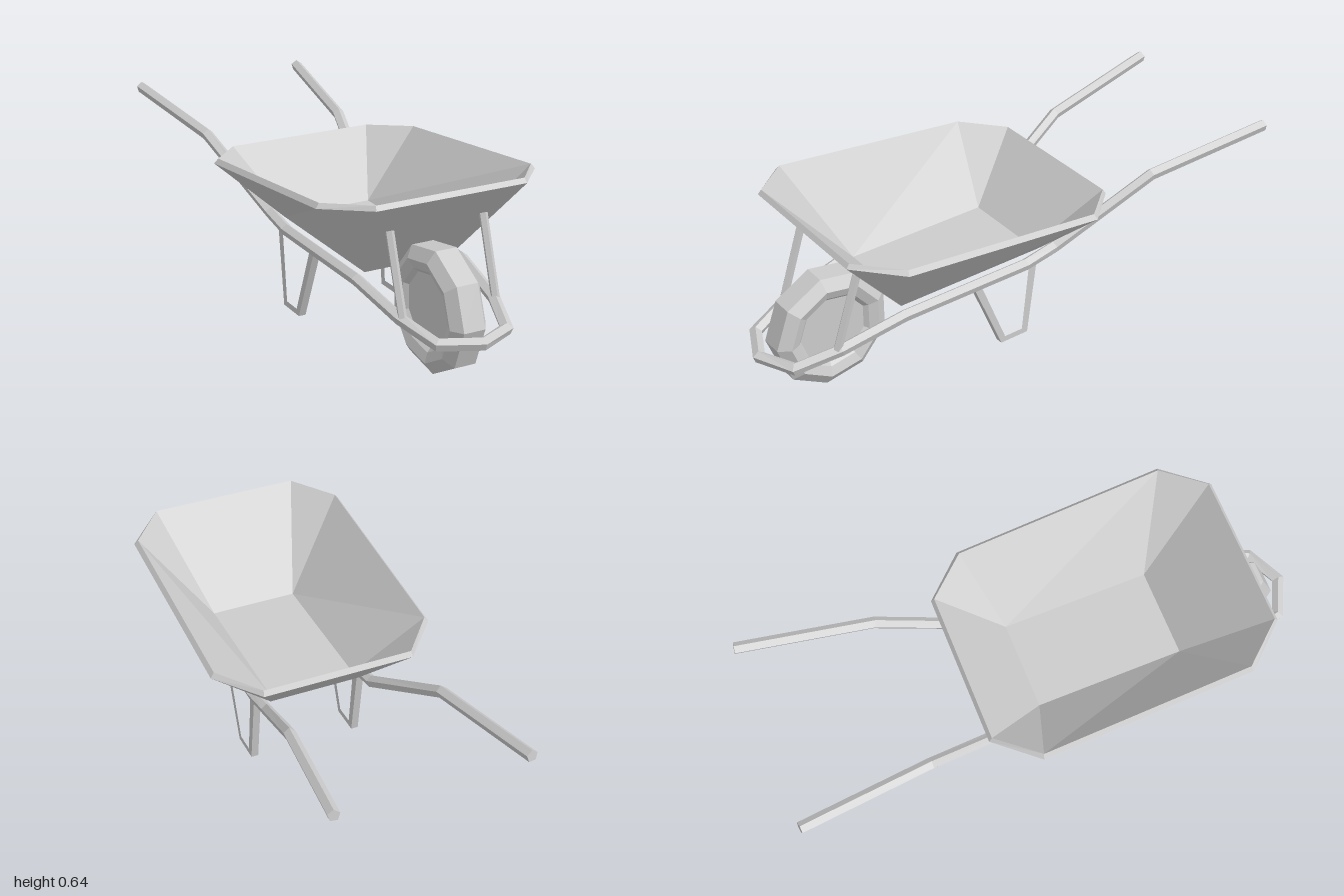
import * as THREE from 'three';

const V = (x, y, z) => new THREE.Vector3(x, y, z);
const material = new THREE.MeshStandardMaterial({ color: 0xcccccc, flatShading: true });

function addMesh(parent, geometry, name) {
  const mesh = new THREE.Mesh(geometry, material);
  mesh.name = name;
  parent.add(mesh);
  return mesh;
}

// Skin a series of equal-length rings and close both ends.
function loft(rings) {
  const n = rings[0].length, last = rings.length - 1, out = [];
  const tri = (...points) => points.forEach((p) => out.push(p.x, p.y, p.z));
  for (let i = 0; i < last; i++) {
    for (let j = 0; j < n; j++) {
      const k = (j + 1) % n, lo = rings[i], hi = rings[i + 1];
      tri(lo[j], lo[k], hi[k]);
      tri(lo[j], hi[k], hi[j]);
    }
  }
  for (let j = 1; j < n - 1; j++) {
    tri(rings[0][0], rings[0][j + 1], rings[0][j]);
    tri(rings[last][0], rings[last][j], rings[last][j + 1]);
  }
  const geometry = new THREE.BufferGeometry();
  geometry.setAttribute('position', new THREE.Float32BufferAttribute(out, 3));
  geometry.computeVertexNormals();
  return geometry;
}

// Straight-sided bar along a path with mitred bends.
function bar(path, radius, sides = 5) {
  const dirs = path.slice(1).map((p, i) => p.clone().sub(path[i]).normalize());
  return loft(path.map((p, i) => {
    const d = dirs[Math.max(i - 1, 0)];
    const next = dirs[Math.min(i, dirs.length - 1)];
    const mitre = d.clone().add(next).normalize();
    const side = V(0, 1, 0).cross(d).normalize();
    const up = d.clone().cross(side);
    return Array.from({ length: sides }, (_, j) => {
      const a = (j / sides) * Math.PI * 2;
      const o = side.clone().multiplyScalar(-Math.sin(a) * radius).addScaledVector(up, Math.cos(a) * radius);
      o.addScaledVector(d, -o.dot(mitre) / d.dot(mitre));
      return o.add(p);
    });
  }));
}

// Eight-point ring: half width, back and front z, corner cuts, and height by z.
function trayRing(w, back, front, cutX, cutZ, height) {
  const quarter = [
    [w, front - cutZ], [w, back + cutZ], [w - cutX, back], [-w + cutX, back],
    [-w, back + cutZ], [-w, front - cutZ], [-w + cutX, front], [w - cutX, front],
  ];
  return quarter.map(([x, z]) => V(x, height(z), z));
}

export function createModel() {
  const model = new THREE.Group();
  model.name = 'wheelbarrow';

  // Tray: outer shell, sloping rim, inner shell
  const rimHeight = (z) => 0.546 + 0.106 * z;
  addMesh(model, loft([
    trayRing(0.17, -0.08, 0.51, 0, 0, () => 0.305),
    trayRing(0.416, -0.295, 0.782, 0.135, 0.15, rimHeight),
    trayRing(0.402, -0.283, 0.77, 0.124, 0.143, (z) => rimHeight(z) + 0.017),
    trayRing(0.163, -0.06, 0.49, 0, 0, () => 0.318),
  ]), 'tray');

  // Frame: one bar from handle to handle, wrapping around the wheel
  const half = [
    V(0.345, 0.585, -0.997), V(0.28, 0.516, -0.51), V(0.205, 0.315, -0.13), V(0.205, 0.29, 0),
    V(0.205, 0.29, 0.52), V(0.18, 0.238, 0.76), V(0.13, 0.197, 0.915),
  ];
  const mirrored = half.map((p) => V(-p.x, p.y, p.z)).reverse();
  addMesh(model, bar([...half, V(0, 0.197, 0.977), ...mirrored], 0.022), 'frame');

  // Leg outline in (z, y), with a trapezoid opening
  const legShape = new THREE.Shape([[-0.038, 0.29], [0, 0], [0.117, 0], [0.235, 0.285]]
    .map(([z, y]) => new THREE.Vector2(-z, y)));
  legShape.holes.push(new THREE.Path([[-0.003, 0.277], [0.024, 0.022], [0.1, 0.022], [0.202, 0.277]]
    .map(([z, y]) => new THREE.Vector2(-z, y))));
  const legGeometry = new THREE.ExtrudeGeometry(legShape, { depth: 0.027, bevelEnabled: false });
  legGeometry.translate(0, 0, -0.0135).rotateY(Math.PI / 2);

  for (const [side, label] of [[1, 'left'], [-1, 'right']]) {
    addMesh(model, legGeometry, `${label}Leg`).position.x = side * 0.204;
    // Brace from the frame up to the tray front
    addMesh(model, bar([V(side * 0.178, 0.24, 0.775), V(side * 0.178, 0.513, 0.685)], 0.0155), `${label}Brace`);
  }

  // Nine-sided wheel with recessed sides
  const profile = [
    [0, -0.04], [0.13, -0.04], [0.145, -0.055], [0.18, -0.068], [0.222, -0.04],
    [0.222, 0.04], [0.18, 0.068], [0.145, 0.055], [0.13, 0.04], [0, 0.04],
  ].map(([r, y]) => new THREE.Vector2(r, y));
  const wheel = addMesh(model, new THREE.LatheGeometry(profile, 9).rotateZ(-Math.PI / 2), 'wheel');
  wheel.position.set(0, 0.2187, 0.706);

  return model;
}
